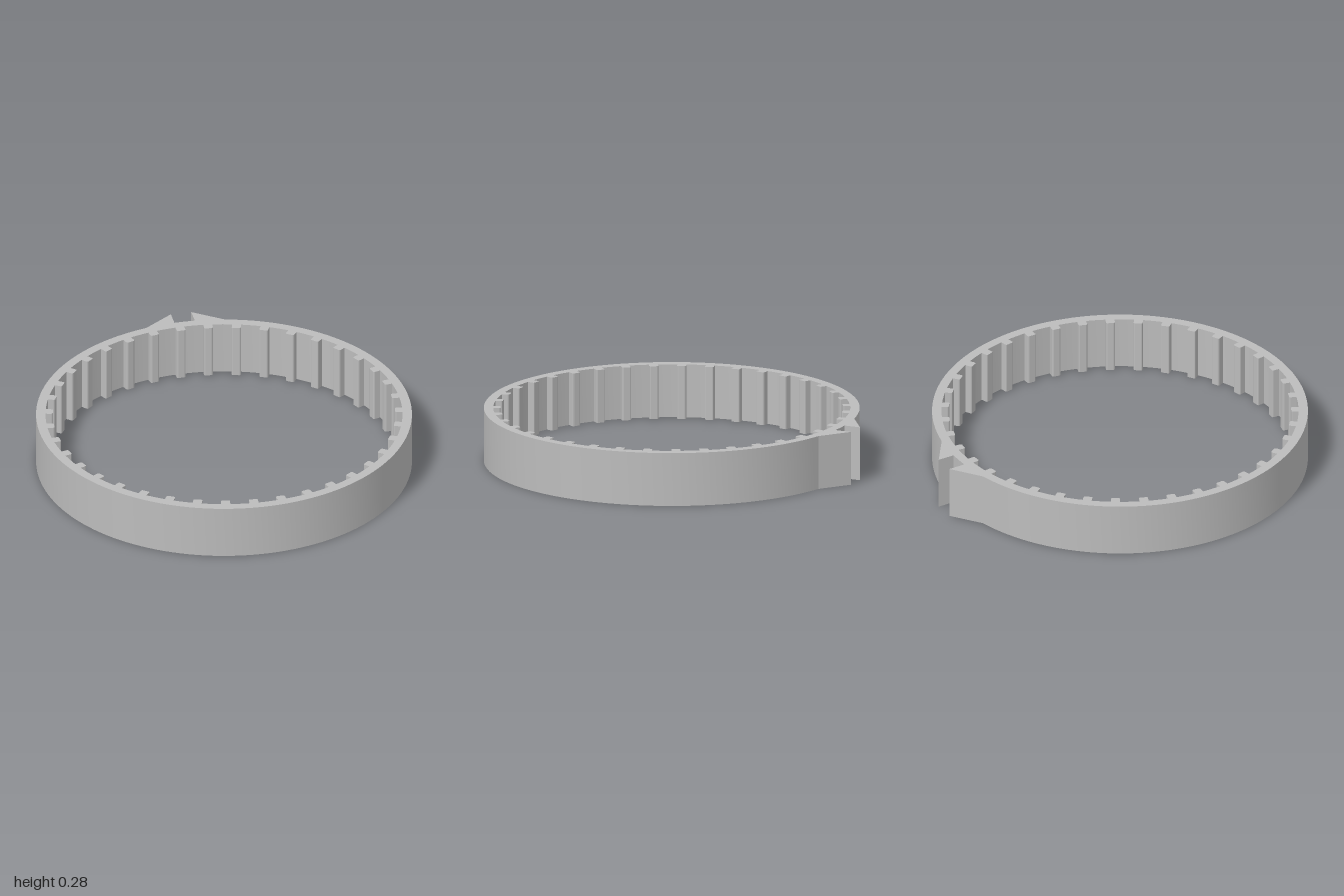
import * as THREE from 'three';
import { toCreasedNormals } from 'three/addons/utils/BufferGeometryUtils.js';

const HEIGHT = 0.277;
const CENTER_Z = 0.043;
const OUTER_R = 0.956;
const INNER_R = 0.908;
const TIP_R = 0.871;
const TEETH = 39;

// Point in the plan: x stays x, shape y becomes -z
const polar = (r, a) => new THREE.Vector2(r * Math.cos(a), r * Math.sin(a) - CENTER_Z);

// Outer outline: a circle broken at the back by two ramps with a gap between them
function outerOutline() {
  const rampStart = Math.asin(0.205 / OUTER_R);
  const gapEdge = Math.asin(0.053 / OUTER_R);
  const points = [];
  const arc = (from, to, steps) => {
    for (let i = 0; i <= steps; i++) points.push(polar(OUTER_R, from + ((to - from) * i) / steps));
  };
  const back = Math.PI / 2;
  arc(back + rampStart, back + 2 * Math.PI - rampStart, 132);
  points.push(new THREE.Vector2(0.053, 1));
  arc(back - gapEdge, back + gapEdge, 4);
  points.push(new THREE.Vector2(-0.053, 1));
  return points;
}

// Inner outline: evenly spaced square teeth with slightly eased tips
function innerOutline() {
  const points = [];
  const pitch = (2 * Math.PI) / TEETH;
  const half = 0.023;
  const ease = 0.007;
  const rootAngle = Math.asin(half / INNER_R);
  const profile = [
    [INNER_R * Math.cos(rootAngle), -half],
    [TIP_R + ease, -half],
    [TIP_R + ease * 0.3, -half + ease * 0.3],
    [TIP_R, -half + ease],
    [TIP_R, half - ease],
    [TIP_R + ease * 0.3, half - ease * 0.3],
    [TIP_R + ease, half],
    [INNER_R * Math.cos(rootAngle), half],
  ];
  for (let i = 0; i < TEETH; i++) {
    const a = i * pitch;
    for (const [r, t] of profile) points.push(polar(Math.hypot(r, t), a + Math.atan2(t, r)));
    // Wall between this tooth and the next
    const gap = pitch - 2 * rootAngle;
    for (let k = 1; k < 4; k++) points.push(polar(INNER_R, a + rootAngle + (gap * k) / 4));
  }
  return points;
}

export function createModel() {
  const group = new THREE.Group();
  group.name = 'toothedRing';

  const grey = new THREE.MeshStandardMaterial({ color: 0xbcbcbc });
  grey.name = 'grey';

  // Ring, teeth and ramps are one solid extruded upwards
  const shape = new THREE.Shape(outerOutline());
  shape.holes.push(new THREE.Path(innerOutline()));
  const geometry = new THREE.ExtrudeGeometry(shape, { depth: HEIGHT, bevelEnabled: false });
  geometry.rotateX(-Math.PI / 2);

  const band = new THREE.Mesh(toCreasedNormals(geometry, 0.2), grey);
  band.name = 'toothedBandWithRamps';
  group.add(band);
  return group;
}
